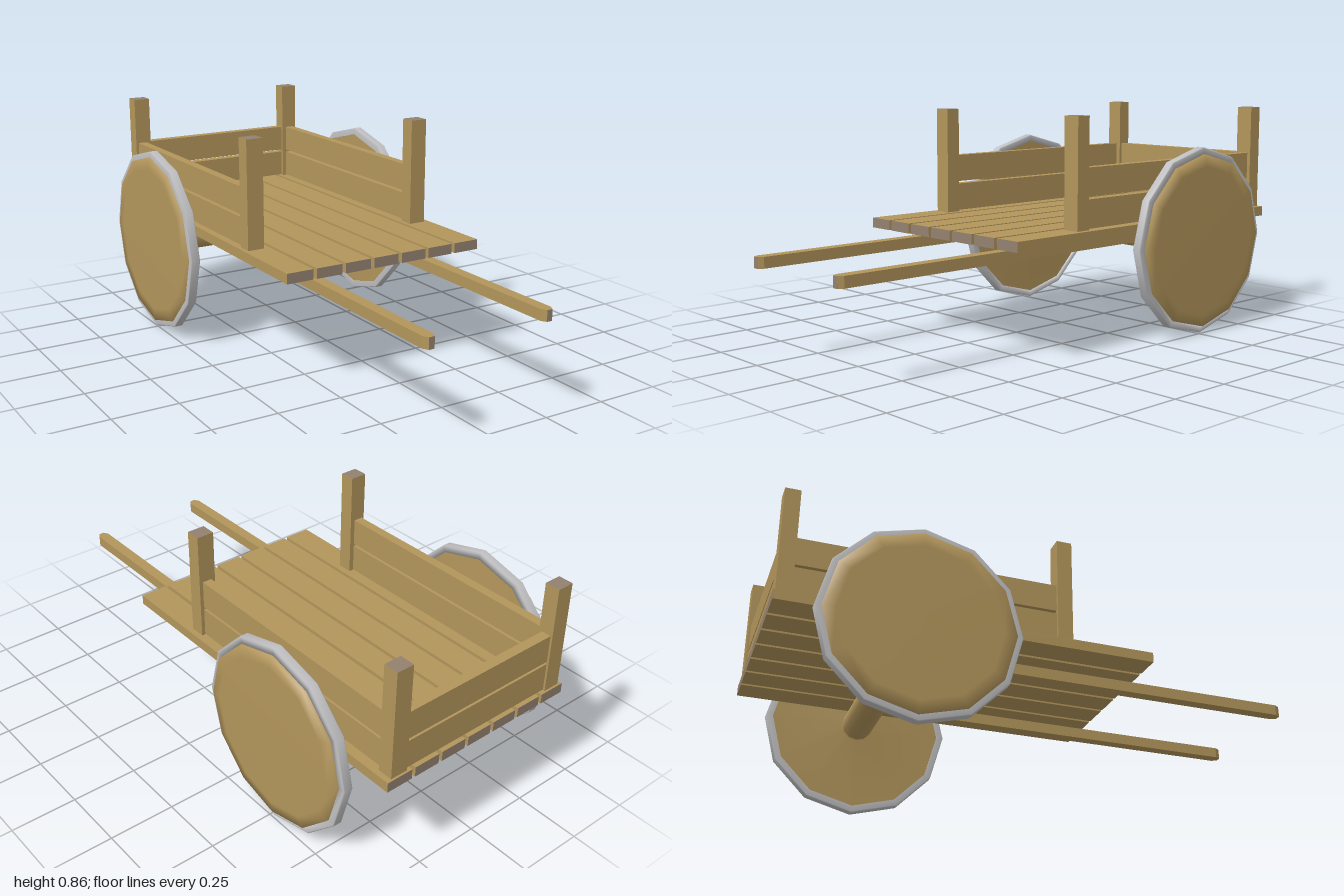
import * as THREE from 'three';

export function createModel() {
  const cart = new THREE.Group();
  cart.name = 'handcart';

  const wood = new THREE.MeshStandardMaterial({ color: 0xb2955b });
  wood.name = 'wood';
  const endGrain = new THREE.MeshStandardMaterial({ color: 0x93816f });
  endGrain.name = 'end grain';
  const metal = new THREE.MeshStandardMaterial({ color: 0xc0c0c2 });
  metal.name = 'metal';

  const add = (name, geometry, material) => {
    const mesh = new THREE.Mesh(geometry, material);
    mesh.name = name;
    cart.add(mesh);
    return mesh;
  };

  // Box given by its limits; endFaces lists the sides (+x -x +y -y +z -z) cut across the grain
  const beam = (name, [x0, x1], [y0, y1], [z0, z1], endFaces = []) => {
    const geometry = new THREE.BoxGeometry(x1 - x0, y1 - y0, z1 - z0);
    geometry.translate((x0 + x1) / 2, (y0 + y1) / 2, (z0 + z1) / 2);
    const materials = Array.from({ length: 6 }, (_, i) => (endFaces.includes(i) ? endGrain : wood));
    return add(name, geometry, materials);
  };

  // Turned part lying along x at the wheel centre
  const turned = (name, profile, material) => {
    const points = profile.map(([r, x]) => new THREE.Vector2(r, x));
    const geometry = new THREE.LatheGeometry(points, 12);
    geometry.rotateZ(-Math.PI / 2);
    add(name, geometry, material).position.set(0, 0.362, -0.517);
  };

  // Floor planks
  for (let i = 0; i < 7; i++) {
    const x = -0.397 + i * 0.1192;
    beam('floorPlank', [x, x + 0.105], [0.41, 0.448], [-1, 0.388], [4, 5]);
  }

  // Corner posts
  for (const x of [[-0.382, -0.316], [0.335, 0.402]]) {
    for (const z of [[-0.992, -0.935], [0.02, 0.078]]) {
      beam('cornerPost', x, [0.448, 0.858], z, [2, 3]);
    }
  }

  // Two rows of boards on the sides and back
  for (const y of [[0.45, 0.557], [0.567, 0.672]]) {
    beam('backBoard', [-0.316, 0.335], y, [-0.984, -0.947]);
    beam('sideBoard', [-0.371, -0.335], y, [-0.935, 0.02]);
    beam('sideBoard', [0.352, 0.388], y, [-0.935, 0.02]);
  }

  // Handles with chamfered tips
  for (const x of [-0.236, 0.241]) {
    const outline = new THREE.Shape([
      [-0.022, -0.51], [-0.022, 0.98], [-0.011, 0.999],
      [0.011, 0.999], [0.022, 0.98], [0.022, -0.51],
    ].map(([a, b]) => new THREE.Vector2(a, b)));
    const geometry = new THREE.ExtrudeGeometry(outline, { depth: 0.041, bevelEnabled: false });
    geometry.rotateX(Math.PI / 2);
    add('handle', geometry, wood).position.set(x, 0.386, 0);
    beam('handleTip', [x - 0.011, x + 0.011], [0.345, 0.386], [0.998, 1], [4]);
  }

  // Axle with the solid wheel discs
  turned('axleAndWheelDiscs', [
    [0, -0.508], [0.29, -0.508], [0.338, -0.505], [0.34, -0.47],
    [0.335, -0.466], [0.06, -0.464], [0.06, -0.45],
    [0.06, 0.44], [0.06, 0.456], [0.335, 0.459],
    [0.336, 0.463], [0.334, 0.503], [0.29, 0.507], [0, 0.507],
  ], wood);

  // Metal tyres
  for (const [a, b] of [[-0.5, -0.463], [0.455, 0.492]]) {
    turned('tyre', [
      [0.334, a], [0.357, a], [0.361, a + 0.004], [0.361, b - 0.004],
      [0.357, b], [0.334, b], [0.334, a],
    ], metal);
  }

  return cart;
}
